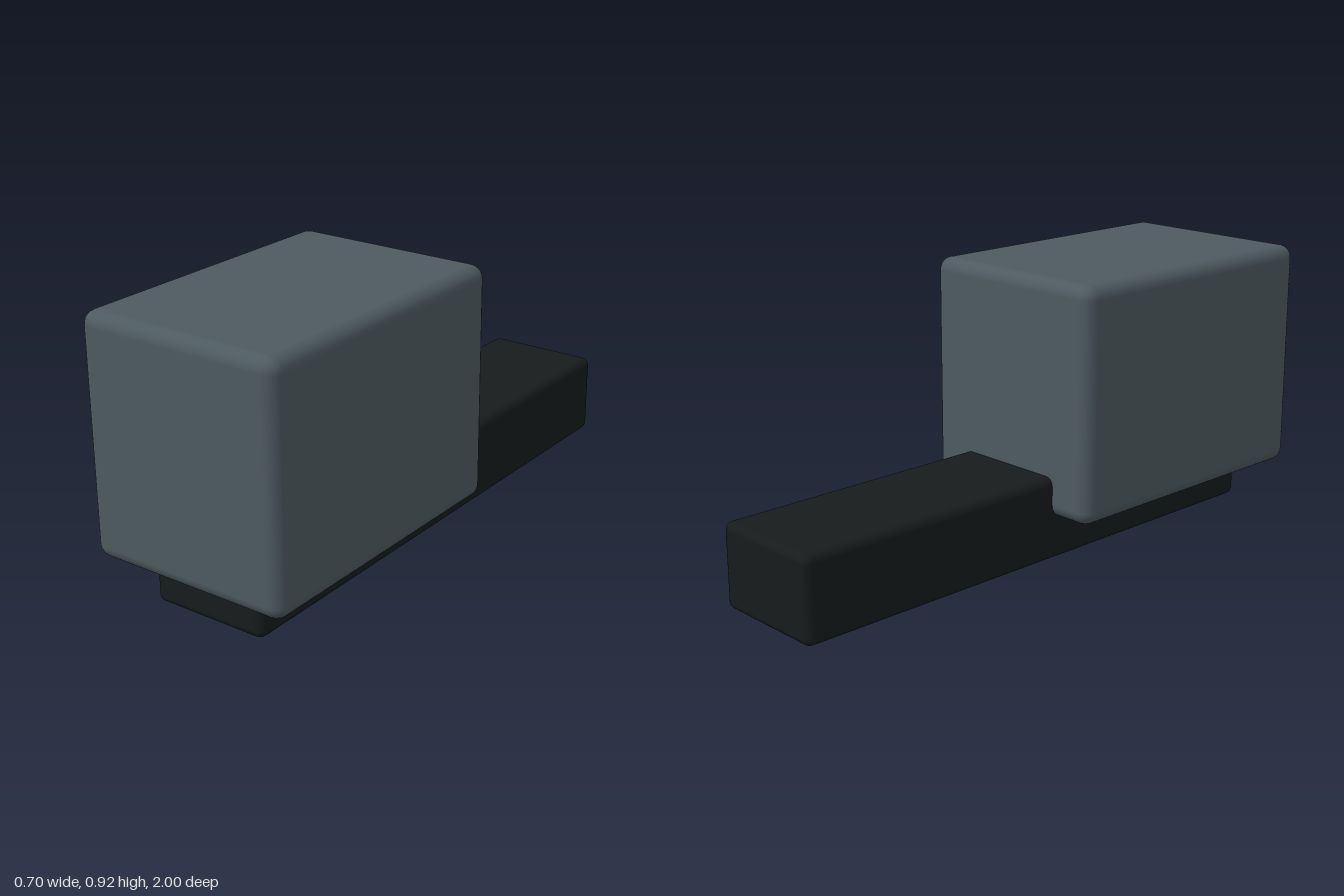
import * as THREE from 'three';
import { RoundedBoxGeometry } from 'three/addons/geometries/RoundedBoxGeometry.js';

// Soft-edged block given by its [min, max] extent on each axis
function block(name, x, y, z, radius, color) {
  const size = [x, y, z].map(([a, b]) => b - a);
  const mesh = new THREE.Mesh(
    new RoundedBoxGeometry(...size, 3, radius),
    new THREE.MeshStandardMaterial({ color })
  );
  mesh.position.set(...[x, y, z].map(([a, b]) => (a + b) / 2));
  mesh.name = name;
  return mesh;
}

export function createModel() {
  const model = new THREE.Group();
  model.name = 'blockOnRail';

  // Long dark rail along the ground, reaching out behind the housing
  model.add(block('baseRail', [-0.203, 0.203], [0, 0.28], [-1, 0.905], 0.027, 0x171b1c));

  // Large housing seated over the front of the rail
  model.add(block('housing', [-0.352, 0.352], [0.145, 0.918], [-0.028, 1], 0.045, 0x4d5a60));

  return model;
}
